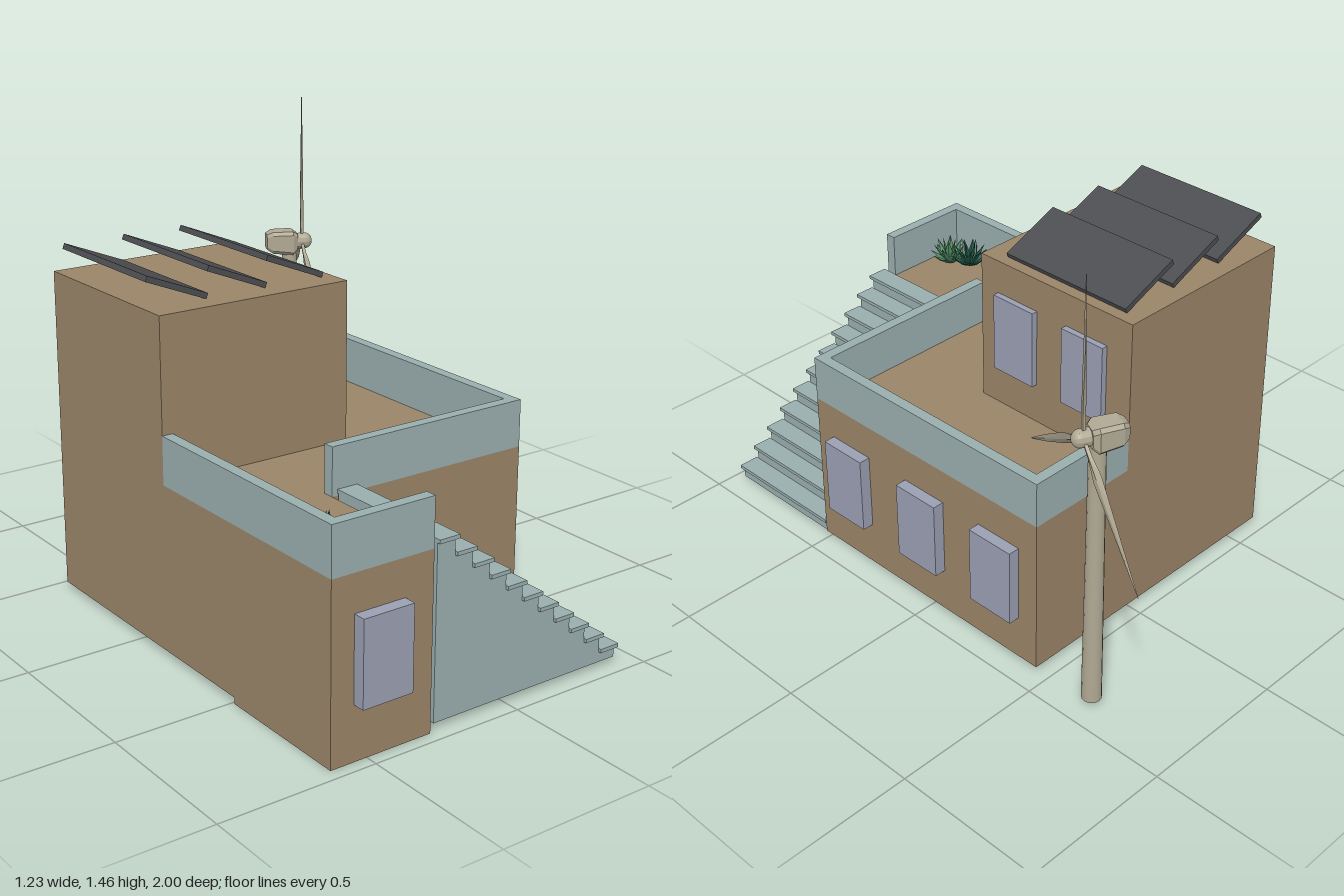
import * as THREE from 'three';

const mat = (color, extra = {}) => new THREE.MeshStandardMaterial({ color, flatShading: true, ...extra });
const BROWN = mat(0x9a8468), TEAL = mat(0x9aaeae), GLASS = mat(0x9a9fb2), PANEL = mat(0x4c4d50);
const STEEL = mat(0xb0a893), DARK_LEAF = mat(0x1f5a48), LIGHT_LEAF = mat(0x4f8a62);

function add(parent, name, geometry, material) {
  const mesh = new THREE.Mesh(geometry, material);
  mesh.name = name;
  parent.add(mesh);
  return mesh;
}

// Box given by its limits on each axis
function block(parent, name, material, x0, x1, y0, y1, z0, z1) {
  const mesh = add(parent, name, new THREE.BoxGeometry(x1 - x0, y1 - y0, z1 - z0), material);
  mesh.position.set((x0 + x1) / 2, (y0 + y1) / 2, (z0 + z1) / 2);
  return mesh;
}

// Closed loft through rings of equal point count; each ring is an array of [x, y, z]
function loft(rings) {
  const n = rings[0].length, index = [];
  for (let r = 0; r < rings.length - 1; r++) {
    for (let i = 0; i < n; i++) {
      const a = r * n + i, b = r * n + (i + 1) % n;
      index.push(a, b, a + n, b, b + n, a + n);
    }
  }
  const last = (rings.length - 1) * n;
  for (let i = 1; i < n - 1; i++) index.push(0, i + 1, i, last, last + i, last + i + 1);
  const g = new THREE.BufferGeometry();
  g.setAttribute('position', new THREE.Float32BufferAttribute(rings.flat(2), 3));
  g.setIndex(index);
  g.computeVertexNormals();
  return g;
}

function makeHouse() {
  const house = new THREE.Group();
  house.name = 'house';
  const L = -0.62, R = 0.426, B = -0.457, T = 0.036;
  block(house, 'groundFloor', BROWN, L, R, 0.02, 0.545, B, 0.51);
  block(house, 'frontWing', BROWN, L, -0.282, 0, 0.545, 0.51, 0.96);
  block(house, 'upperRoom', BROWN, L, 0.036, 0.545, 1.05, B, 0.155);

  // Roof terrace parapets
  const wall = (x0, x1, z0, z1) => block(house, 'parapet', TEAL, x0, x1, 0.545, 0.695, z0, z1);
  wall(L, L + T, 0.155, 0.96);
  wall(L + T, -0.282, 0.96 - T, 0.96);
  wall(-0.282, R, 0.51 - T, 0.51);
  wall(R - T, R, B, 0.51 - T);
  wall(0.036, R - T, B, B + T);

  // Windows standing proud of the walls
  block(house, 'frontWindow', GLASS, -0.545, -0.378, 0.17, 0.43, 0.96, 1);
  for (const z of [0.355, 0.02, -0.3])
    block(house, 'sideWindow', GLASS, R, 0.464, 0.17, 0.43, z - 0.084, z + 0.084);
  for (const z of [0.003, -0.28])
    block(house, 'upperWindow', GLASS, 0.036, 0.056, 0.68, 0.94, z - 0.082, z + 0.082);

  // Tilted solar panels
  for (let i = 0; i < 3; i++) {
    const panel = add(house, 'solarPanel', new THREE.BoxGeometry(0.218, 0.018, 0.48), PANEL);
    panel.position.set(-0.513 + i * 0.206, 1.098, -0.16);
    panel.rotation.z = -0.385;
  }
  return house;
}

function makeStairs() {
  const stairs = new THREE.Group();
  stairs.name = 'stairs';
  const steps = 11, run = 0.0623, rise = 0.05, x0 = -0.263, top = 0.564, tread = 0.012;
  const profile = [[x0, 0.02]];
  for (let i = 0; i < steps; i++) {
    const x = x0 + i * run, y = top - i * rise;
    profile.push([x, y - tread], [x + run, y - tread]);
    block(stairs, 'tread', TEAL, x, x + 0.07, y - tread, y, 0.51, 0.96);
  }
  profile.push([x0 + steps * run, 0.02]);
  const shape = new THREE.Shape(profile.map(([x, y]) => new THREE.Vector2(x, y)));
  const body = add(stairs, 'stairBody', new THREE.ExtrudeGeometry(shape, { depth: 0.436, bevelEnabled: false }), TEAL);
  body.position.z = 0.514;
  return stairs;
}

function makeTurbine() {
  const turbine = new THREE.Group();
  turbine.name = 'windTurbine';
  const pole = add(turbine, 'pole', new THREE.CylinderGeometry(0.025, 0.031, 0.91, 16), mat(0xb0a893, { flatShading: false }));
  pole.position.set(0.402, 0.475, -0.66);

  // Head faces local +z and is stretched a little in height
  const head = new THREE.Group();
  head.name = 'turbineHead';
  head.position.set(0.447, 0.957, -0.648);
  head.rotation.y = 1.13;
  head.scale.y = 1.115;
  turbine.add(head);

  // Nacelle: chamfered sections narrowing toward the tail
  const section = (z, w, y0, y1, c) => [
    [-w + c, y0, z], [w - c, y0, z], [w, y0 + c, z], [w, y1 - c, z],
    [w - c, y1, z], [-w + c, y1, z], [-w, y1 - c, z], [-w, y0 + c, z]];
  add(head, 'nacelle', loft([
    section(-0.125, 0.026, -0.02, 0.026, 0.008), section(-0.105, 0.038, -0.032, 0.035, 0.01),
    section(-0.035, 0.04, -0.04, 0.035, 0.01), section(-0.018, 0.028, -0.026, 0.026, 0.01)]), STEEL);
  const shaft = add(head, 'hub', new THREE.CylinderGeometry(0.025, 0.025, 0.03, 12), STEEL);
  shaft.rotation.x = Math.PI / 2;
  shaft.position.z = -0.005;
  const nose = add(head, 'noseCone', new THREE.SphereGeometry(0.025, 12, 6, 0, Math.PI * 2, 0, Math.PI / 2), STEEL);
  nose.rotation.x = Math.PI / 2;
  nose.position.z = 0.01;

  // Blades: [span, half chord, half thickness, twist]
  const stations = [[0.01, 0.007, 0.007, 0.6], [0.06, 0.008, 0.007, 0.6], [0.12, 0.017, 0.006, 0.5],
    [0.2, 0.015, 0.005, 0.35], [0.32, 0.01, 0.003, 0.2], [0.447, 0.002, 0.001, 0.1]];
  const bladeGeometry = loft(stations.map(([y, c, t, a]) =>
    [[c, 0], [0, -t], [-c, 0], [0, t]].map(([u, v]) =>
      [u * Math.cos(a) - v * Math.sin(a), y, u * Math.sin(a) + v * Math.cos(a)])));
  if (!bladeFacesOut(bladeGeometry)) flip(bladeGeometry);
  flipIfInside(head.children[0].geometry);
  for (let i = 0; i < 3; i++)
    add(head, 'blade', bladeGeometry, STEEL).rotation.z = i * Math.PI * 2 / 3;
  return turbine;
}

// Signed volume tells whether a closed surface faces outward
function bladeFacesOut(g) {
  const p = g.attributes.position, ix = g.index.array;
  const v = [0, 1, 2].map(() => new THREE.Vector3());
  let volume = 0;
  for (let i = 0; i < ix.length; i += 3) {
    v.forEach((q, k) => q.fromBufferAttribute(p, ix[i + k]));
    volume += v[0].dot(v[1].cross(v[2]));
  }
  return volume > 0;
}
function flip(g) {
  g.index.array.reverse();
  g.computeVertexNormals();
}
function flipIfInside(g) {
  if (!bladeFacesOut(g)) flip(g);
}

// Rosette of pointed leaves in three rings
function makePlant(x, z, material, turn) {
  const plant = new THREE.Group();
  plant.name = 'plant';
  plant.position.set(x, 0.545, z);
  const leaf = new THREE.OctahedronGeometry(1).scale(0.014, 0.5, 0.006).translate(0, 0.5, 0);
  for (const [count, tilt, length] of [[9, 0.95, 0.085], [7, 0.6, 0.1], [4, 0.22, 0.105]]) {
    for (let i = 0; i < count; i++) {
      const mesh = add(plant, 'leaf', leaf, material);
      mesh.scale.y = length;
      mesh.rotation.set(tilt, turn + tilt + i * Math.PI * 2 / count, 0, 'YXZ');
    }
  }
  return plant;
}

export function createModel() {
  const model = new THREE.Group();
  model.name = 'houseWithTurbine';
  model.add(makeHouse(), makeStairs(), makeTurbine(),
    makePlant(-0.513, 0.783, DARK_LEAF, 0), makePlant(-0.478, 0.85, LIGHT_LEAF, 0.4));
  return model;
}
